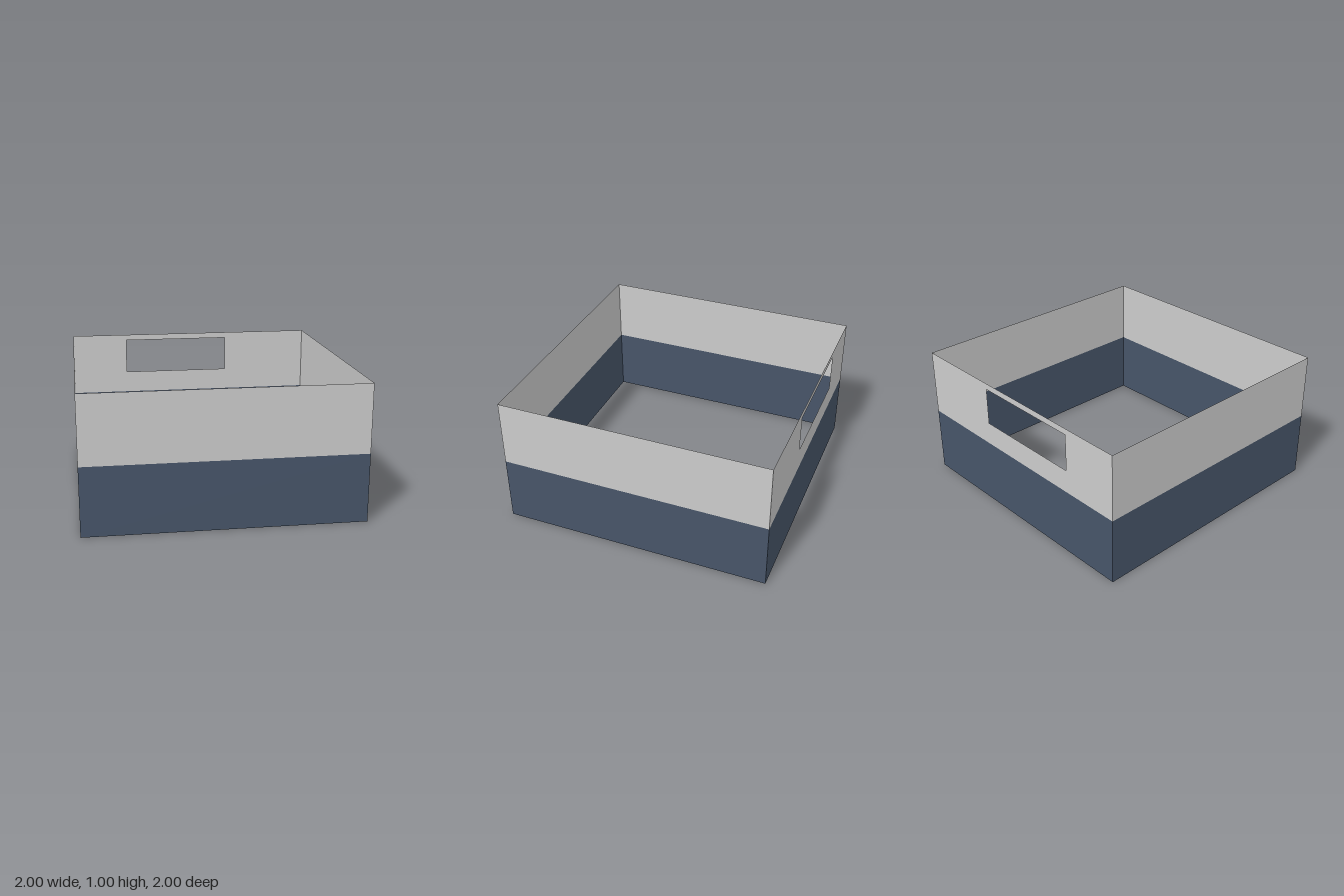
import * as THREE from 'three';

const grey = new THREE.MeshStandardMaterial({ color: 0xcccccc, side: THREE.DoubleSide });
const blue = new THREE.MeshStandardMaterial({ color: 0x475569, side: THREE.DoubleSide });

// Upright rectangle from (x0, y0) to (x1, y1)
function rectangle(Type, x0, y0, x1, y1) {
  return new Type([[x0, y0], [x1, y0], [x1, y1], [x0, y1]].map(([x, y]) => new THREE.Vector2(x, y)));
}

// Thin wall panel, one unit out from the centre and turned to face its side
function wall(name, angle, y0, y1, material, opening) {
  const shape = rectangle(THREE.Shape, -1, y0, 1, y1);
  if (opening) shape.holes.push(opening);
  const geometry = new THREE.ShapeGeometry(shape).translate(0, 0, 1).rotateY(angle);
  const mesh = new THREE.Mesh(geometry, material);
  mesh.name = name;
  return mesh;
}

export function createModel() {
  const model = new THREE.Group();
  model.name = 'openRoom';

  // Wide window in the back wall, measured as seen from outside
  const windowOpening = rectangle(THREE.Path, -0.31, 0.675, 0.55, 0.953);

  // Four sides, each with a dark lower band and a grey upper band
  ['front', 'left', 'back', 'right'].forEach((side, i) => {
    const angle = i * Math.PI / 2;
    model.add(wall(side + 'LowerWall', angle, 0, 0.5, blue));
    model.add(wall(side + 'UpperWall', angle, 0.5, 1, grey, side === 'back' ? windowOpening : null));
  });
  return model;
}
